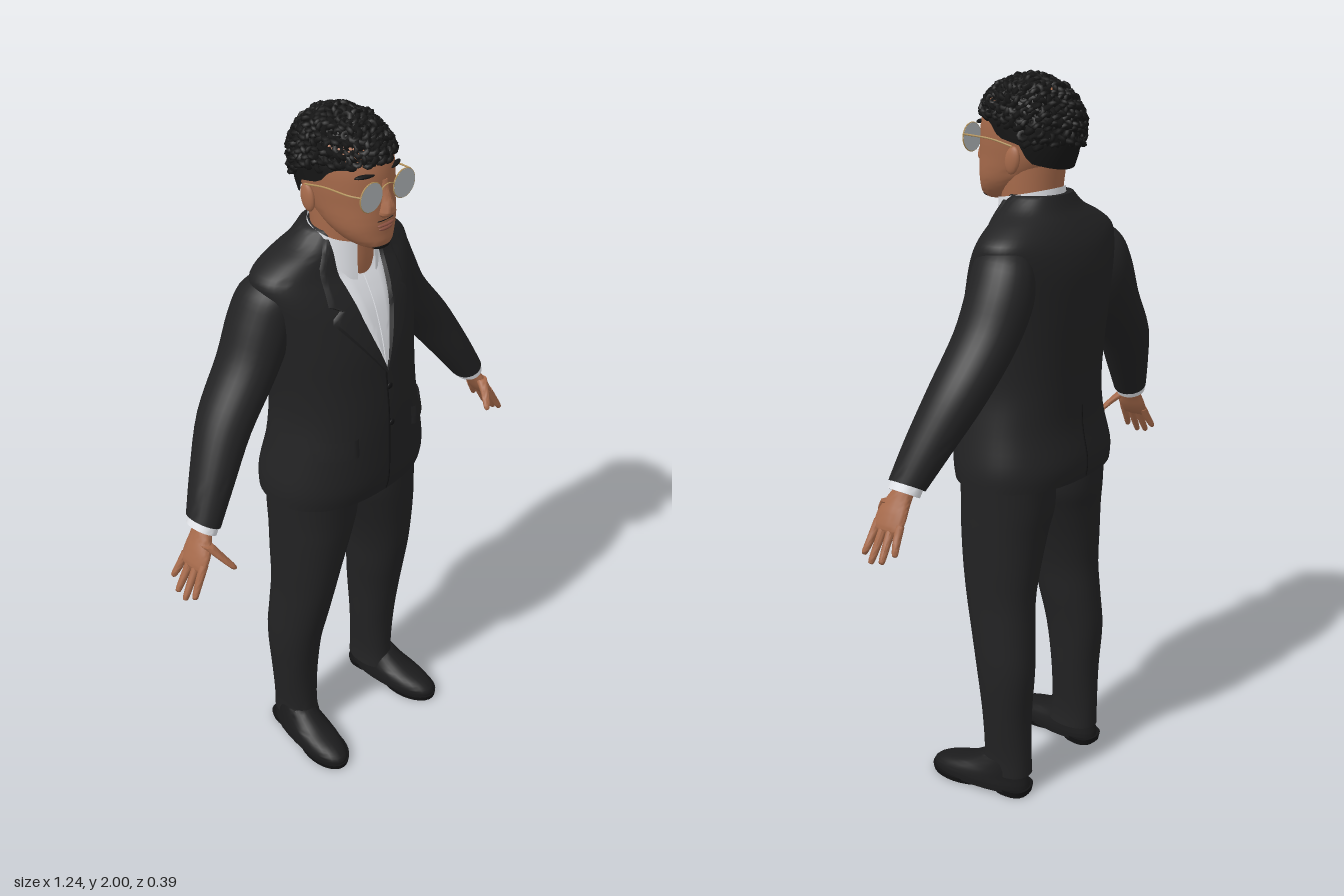
import * as THREE from 'three';
import { mergeGeometries, toCreasedNormals } from 'three/addons/utils/BufferGeometryUtils.js';

const mat = (name, color, side = THREE.FrontSide) => {
  const m = new THREE.MeshStandardMaterial({ color, side });
  m.name = name;
  return m;
};

// Parametric sheet: f(u, v) -> [x, y, z], facing du x dv
function sheet(f, nu, nv, crease = 0.9) {
  const pos = [], idx = [];
  for (let j = 0; j <= nv; j++) for (let i = 0; i <= nu; i++) pos.push(...f(i / nu, j / nv));
  for (let j = 0; j < nv; j++) for (let i = 0; i < nu; i++) {
    const a = j * (nu + 1) + i, b = a + nu + 1;
    idx.push(a, a + 1, b + 1, a, b + 1, b);
  }
  const g = new THREE.BufferGeometry();
  g.setAttribute('position', new THREE.Float32BufferAttribute(pos, 3));
  g.setIndex(idx);
  return toCreasedNormals(g, crease);
}

// Smooth interpolation through a list of equal-length rows, t in 0..1
function at(rows, t) {
  const n = rows.length - 1, k = Math.min(Math.floor(t * n), n - 1), w = t * n - k;
  const r = (i) => rows[Math.max(0, Math.min(n, i))];
  return rows[0].map((_, c) => {
    const p0 = r(k - 1)[c], p1 = r(k)[c], p2 = r(k + 1)[c], p3 = r(k + 2)[c];
    return p1 + 0.5 * w * (p2 - p0 + w * (2 * p0 - 5 * p1 + 4 * p2 - p3 + w * (3 * (p1 - p2) + p3 - p0)));
  });
}

// Closed body through rings [x, y, z, rx, rz, tilt], listed bottom to top
function loft(rings, { n = 28, s = 1, p = 2, steps = 4 } = {}) {
  const rows = rings.map(([x, y, z, rx, rz, t = 0]) => [x * s, y, z, rx, rz, t * s]);
  const nv = (rows.length - 1) * steps;
  const pw = (c) => Math.sign(c) * Math.abs(c) ** (2 / p);
  return sheet((u, v) => {
    const j = Math.round(v * (nv + 2)) - 1, a = -2 * Math.PI * u;
    const [x, y, z, rx, rz, t] = at(rows, Math.max(0, Math.min(1, j / nv)));
    const k = j < 0 || j > nv ? 0 : 1;           // closing caps
    const c = k * rx * pw(Math.cos(a));
    return [x + c * Math.cos(t), y + c * Math.sin(t), z + k * rz * pw(Math.sin(a))];
  }, n, nv + 2);
}

const lerpTable = (table, y) => {
  let i = 0;
  while (i < table.length - 2 && y > table[i + 1][0]) i++;
  const [a, b] = [table[i], table[i + 1]];
  const w = Math.max(0, Math.min(1, (y - a[0]) / (b[0] - a[0])));
  return a[1] + (b[1] - a[1]) * w;
};

const TORSO = [
  [0, 0.945, -0.015, 0.25, 0.172], [0, 1.0, -0.012, 0.247, 0.18], [0, 1.1, -0.003, 0.225, 0.171],
  [0, 1.2, -0.006, 0.206, 0.17], [0, 1.3, -0.015, 0.207, 0.168], [0, 1.4, -0.025, 0.217, 0.165],
  [0, 1.5, -0.04, 0.232, 0.15], [0, 1.56, -0.05, 0.243, 0.13], [0, 1.6, -0.055, 0.238, 0.11],
  [0, 1.635, -0.05, 0.19, 0.095], [0, 1.665, -0.042, 0.13, 0.083], [0, 1.7, -0.04, 0.09, 0.07]];
const TORSO_P = 2.3;

// Depth of the jacket surface at (x, y); dir 1 is the front, -1 the back
function torsoZ(x, y, dir = 1) {
  let lo = 0, hi = 1;
  for (let i = 0; i < 24; i++) at(TORSO, (lo + hi) / 2)[1] < y ? (lo = (lo + hi) / 2) : (hi = (lo + hi) / 2);
  const [, , z, rx, rz] = at(TORSO, lo);
  const q = Math.max(0, 1 - Math.min(1, Math.abs(x) / rx) ** TORSO_P);
  return z + dir * rz * q ** (1 / TORSO_P);
}

// Cloth patch lying on the torso between two x edges, with edges turned down
function patch(y0, y1, left, right, off, dir = 1) {
  return sheet((u, v) => {
    const y = y0 + (y1 - y0) * v, a = left(y), b = right(y), [l, r] = a < b ? [a, b] : [b, a];
    const w = dir > 0 ? u : 1 - u, x = l + (r - l) * w;
    return [x, y, torsoZ(x, y, dir) + dir * (u === 0 || u === 1 ? 0 : off)];
  }, 10, 24);
}

export function createModel() {
  const suit = mat('suit black', 0x222223, THREE.DoubleSide), seam = mat('seam black', 0x131314, THREE.DoubleSide);
  const shirt = mat('shirt white', 0xdfe1e6, THREE.DoubleSide), skin = mat('skin', 0xa66a4b);
  const hair = mat('hair black', 0x151515, THREE.DoubleSide), shoe = mat('shoe black', 0x1b1b1c);
  const lens = mat('lens grey', 0xb4babd), gold = mat('frame gold', 0xb4935c), lip = mat('lip', 0x8c5243);
  const model = new THREE.Group();
  const add = (name, geo, m, parent = model) => {
    const mesh = new THREE.Mesh(geo, m);
    mesh.name = name;
    parent.add(mesh);
    return mesh;
  };
  const blob = (name, m, [x, y, z], [a, b, c]) =>
    add(name, new THREE.SphereGeometry(1, 20, 14).scale(a, b, c).translate(x, y, z), m);

  // Jacket, shirt front and seams
  add('jacket', loft(TORSO, { n: 56, p: TORSO_P }), suit);
  const vee = (y) => lerpTable([[1.34, 0.001], [1.48, 0.046], [1.6, 0.075], [1.67, 0.078]], y);
  const lapelEdge = (y) => lerpTable([[1.33, 0.006], [1.42, 0.075], [1.505, 0.14], [1.512, 0.105],
    [1.522, 0.105], [1.53, 0.132], [1.62, 0.122], [1.685, 0.084]], y);
  add('shirtFront', patch(1.34, 1.66, (y) => -vee(y), vee, 0.006), shirt);
  add('shirtPlacket', patch(1.36, 1.58, () => -0.008, () => 0.008, 0.009), shirt);
  add('frontSeam', patch(0.95, 1.33, () => -0.002, () => 0.002, 0.003), seam);
  add('backVent', patch(0.95, 1.15, () => -0.002, () => 0.002, 0.003, -1), seam);
  for (const y of [1.17, 1.28]) blob('jacketButton', seam, [0.008, y, torsoZ(0, y) + 0.003], [0.009, 0.009, 0.004]);

  // Standing shirt collar, open at the front
  add('shirtCollar', sheet((u, v) => {
    const a = Math.PI / 2 - 0.36 - u * (2 * Math.PI - 0.72), f = (Math.sin(a) + 1) / 2;
    const lo = 1.66 - 0.085 * f, hi = 1.717 - 0.037 * f, r = 1.06 - 0.06 * v;
    return [0.085 * r * Math.cos(a), lo + (hi - lo) * v, -0.008 + 0.088 * r * Math.sin(a)];
  }, 40, 4), shirt);

  for (const s of [1, -1]) {
    const side = new THREE.Group();
    side.name = s > 0 ? 'leftSide' : 'rightSide';
    model.add(side);
    const part = (name, rings, m, opt) => add(name, loft(rings, { s, ...opt }), m, side);

    add('lapel', patch(1.33, 1.685, (y) => s * vee(y), (y) => s * lapelEdge(y), 0.01), suit, side);
    add('pocketFlap', patch(1.11, 1.165, () => s * 0.1, () => s * 0.2, 0.009), suit, side);

    // Sleeve and shirt cuff
    part('sleeve', [[0.507, 1.04, 0, 0.042, 0.052, 0.53], [0.45, 1.135, -0.025, 0.053, 0.066, 0.53],
      [0.375, 1.25, -0.055, 0.064, 0.08, 0.53], [0.28, 1.37, -0.07, 0.07, 0.088, 0.5],
      [0.225, 1.47, -0.075, 0.076, 0.092, 0.4], [0.2, 1.54, -0.07, 0.063, 0.085, 0.45],
      [0.18, 1.585, -0.06, 0.035, 0.06, 0.5]], suit);
    part('shirtCuff', [[0.517, 1.022, 0.003, 0.036, 0.046, 0.53], [0.5, 1.05, 0, 0.036, 0.046, 0.53]], shirt);

    // Hand: d is the distance down from the wrist
    const ring = (d, z, rx, rz) => [0.512 + 0.5 * d, 1.03 - 0.86 * d, z, rx, rz, 0.53];
    part('palm', [ring(0.115, 0.018, 0.008, 0.036), ring(0.105, 0.018, 0.013, 0.045), ring(0.07, 0.017, 0.018, 0.046),
      ring(0.035, 0.012, 0.019, 0.038), ring(0, 0.004, 0.021, 0.029), ring(-0.03, 0, 0.022, 0.03)], skin);
    [[-0.018, 0.168, -0.03], [0.006, 0.195, 0.002], [0.03, 0.202, 0.034], [0.053, 0.185, 0.063]].forEach(([z, len, tip]) =>
      part('finger', [ring(len, tip, 0.003, 0.003), ring(len - 0.007, tip, 0.008, 0.008),
        ring((len + 0.1) / 2, (z + tip) / 2, 0.01, 0.0105), ring(0.09, z, 0.011, 0.012)], skin, { n: 12 }));
    part('thumb', [[0.497, 0.932, 0.1, 0.004, 0.004], [0.5, 0.94, 0.097, 0.009, 0.009],
      [0.517, 0.968, 0.074, 0.012, 0.013], [0.535, 1.0, 0.04, 0.015, 0.02]], skin, { n: 14 });

    // Trouser leg
    part('trouserLeg', [[0.165, 0.06, -0.043, 0.055, 0.078], [0.166, 0.12, -0.047, 0.052, 0.073],
      [0.168, 0.25, -0.046, 0.062, 0.073], [0.168, 0.39, -0.042, 0.069, 0.087], [0.16, 0.5, -0.028, 0.073, 0.096],
      [0.153, 0.6, -0.015, 0.076, 0.104], [0.142, 0.7, -0.011, 0.088, 0.115], [0.126, 0.8, -0.01, 0.104, 0.125],
      [0.115, 0.87, -0.013, 0.114, 0.132], [0.115, 0.97, -0.013, 0.115, 0.135]], suit, { p: 2.2 });

    // Shoe, toes turned slightly out
    const foot = new THREE.Group();
    foot.name = 'shoe';
    foot.position.x = s * 0.18;
    foot.rotation.y = s * 0.11;
    side.add(foot);
    add('shoeUpper', loft([[0, 0.012, 0.037, 0.06, 0.158], [0, 0.03, 0.036, 0.06, 0.157], [0, 0.05, 0.022, 0.056, 0.138],
      [0, 0.072, -0.012, 0.05, 0.098], [0, 0.105, -0.04, 0.042, 0.065]], { p: 2.2 }), shoe, foot);
    add('sole', loft([[0, 0, 0.1, 0.058, 0.098], [0, 0.016, 0.1, 0.062, 0.1]], { steps: 1 }), seam, foot);
    add('heel', loft([[0, 0, -0.07, 0.046, 0.052], [0, 0.02, -0.07, 0.05, 0.056]], { steps: 1, p: 2.6 }), seam, foot);

    // Ear, brow, and one half of the glasses
    add('ear', new THREE.SphereGeometry(1, 16, 12).scale(0.011, 0.036, 0.022)
      .rotateX(-0.2).translate(s * 0.102, 1.79, -0.022), skin, side);
    add('eyebrow', new THREE.SphereGeometry(1, 14, 8).scale(0.027, 0.005, 0.008)
      .rotateY(s * 0.35).translate(s * 0.052, 1.872, 0.118), hair, side);
    add('lens', new THREE.CylinderGeometry(0.036, 0.036, 0.004, 32).rotateX(Math.PI / 2)
      .translate(s * 0.056, 1.83, 0.144), lens, side);
    add('lensRim', new THREE.TorusGeometry(0.036, 0.002, 6, 32).translate(s * 0.056, 1.83, 0.144), gold, side);
    const arm = new THREE.CatmullRomCurve3([[0.091, 1.84, 0.144], [0.104, 1.842, 0.12], [0.107, 1.838, 0.04],
      [0.107, 1.825, -0.025]].map(([x, y, z]) => new THREE.Vector3(s * x, y, z)));
    add('glassesArm', new THREE.TubeGeometry(arm, 16, 0.0025, 6), gold, side);
  }
  add('glassesBridge', new THREE.TorusGeometry(0.02, 0.002, 6, 12, Math.PI).scale(1, 0.5, 1)
    .translate(0, 1.838, 0.145), gold);

  // Neck, head and face
  add('neck', loft([[0, 1.55, 0, 0.06, 0.068], [0, 1.61, 0.002, 0.07, 0.073], [0, 1.67, -0.006, 0.075, 0.08],
    [0, 1.73, -0.01, 0.078, 0.084], [0, 1.8, -0.015, 0.08, 0.09]]), skin);
  add('head', loft([[0, 1.674, 0.1, 0.026, 0.03], [0, 1.69, 0.077, 0.054, 0.066], [0, 1.72, 0.055, 0.077, 0.088],
    [0, 1.75, 0.035, 0.088, 0.108], [0, 1.79, 0.015, 0.095, 0.125], [0, 1.83, 0.008, 0.1, 0.129],
    [0, 1.88, 0, 0.102, 0.131], [0, 1.93, -0.005, 0.092, 0.115], [0, 1.965, -0.01, 0.06, 0.08]],
  { n: 36, p: 2.1 }), skin);
  add('nose', loft([[0, 1.764, 0.138, 0.016, 0.012], [0, 1.773, 0.142, 0.023, 0.021], [0, 1.79, 0.142, 0.018, 0.022],
    [0, 1.82, 0.136, 0.011, 0.016], [0, 1.855, 0.128, 0.011, 0.01]], { n: 16 }), skin);
  blob('upperLip', lip, [0, 1.742, 0.139], [0.028, 0.005, 0.009]);
  blob('lowerLip', lip, [0, 1.732, 0.138], [0.024, 0.006, 0.009]);
  blob('moustache', hair, [0, 1.754, 0.139], [0.028, 0.002, 0.004]);
  blob('goatee', hair, [0, 1.684, 0.122], [0.03, 0.012, 0.02]);

  // Short hair cap, cut along a line falling from brow to nape
  const hairline = (z) => lerpTable([[-0.14, 1.765], [-0.06, 1.785], [-0.035, 1.83], [0.03, 1.845], [0.06, 1.88], [0.14, 1.892]], z);
  const CY = 1.873, scalp = (az, lat) => [0.108 * Math.cos(lat) * Math.cos(az),
    CY + (lat < 0 ? 0.2 : 0.112) * Math.sin(lat), -0.008 + 0.138 * Math.cos(lat) * Math.sin(az)];
  add('hairCap', sheet((u, v) => {
    const az = -2 * Math.PI * u, dy = hairline(0.138 * Math.sin(az)) - CY;
    const low = Math.asin(dy / (dy < 0 ? 0.2 : 0.112));
    return scalp(az, low + (Math.PI / 2 - low) * v);
  }, 48, 14), hair);

  // Curls scattered in a spiral over the cap
  const curls = [];
  for (let i = 0; i < 420; i++) {
    const lat = Math.asin(1 - (i + 0.5) / 420 * 1.25), az = i * 2.39996;
    const [x, y, z] = scalp(az, lat);
    if (y < hairline(z) + (z < 0.05 ? 0.035 : 0.006)) continue;
    const r = 0.011 + 0.004 * Math.abs(Math.sin(i * 7.3));
    curls.push(new THREE.TorusGeometry(r * 0.65, r * 0.5, 5, 8)
      .rotateX(Math.sin(i * 3.1) * 1.2).rotateY(i * 1.7).translate(x, y, z));
  }
  add('curls', mergeGeometries(curls), hair);
  return model;
}
